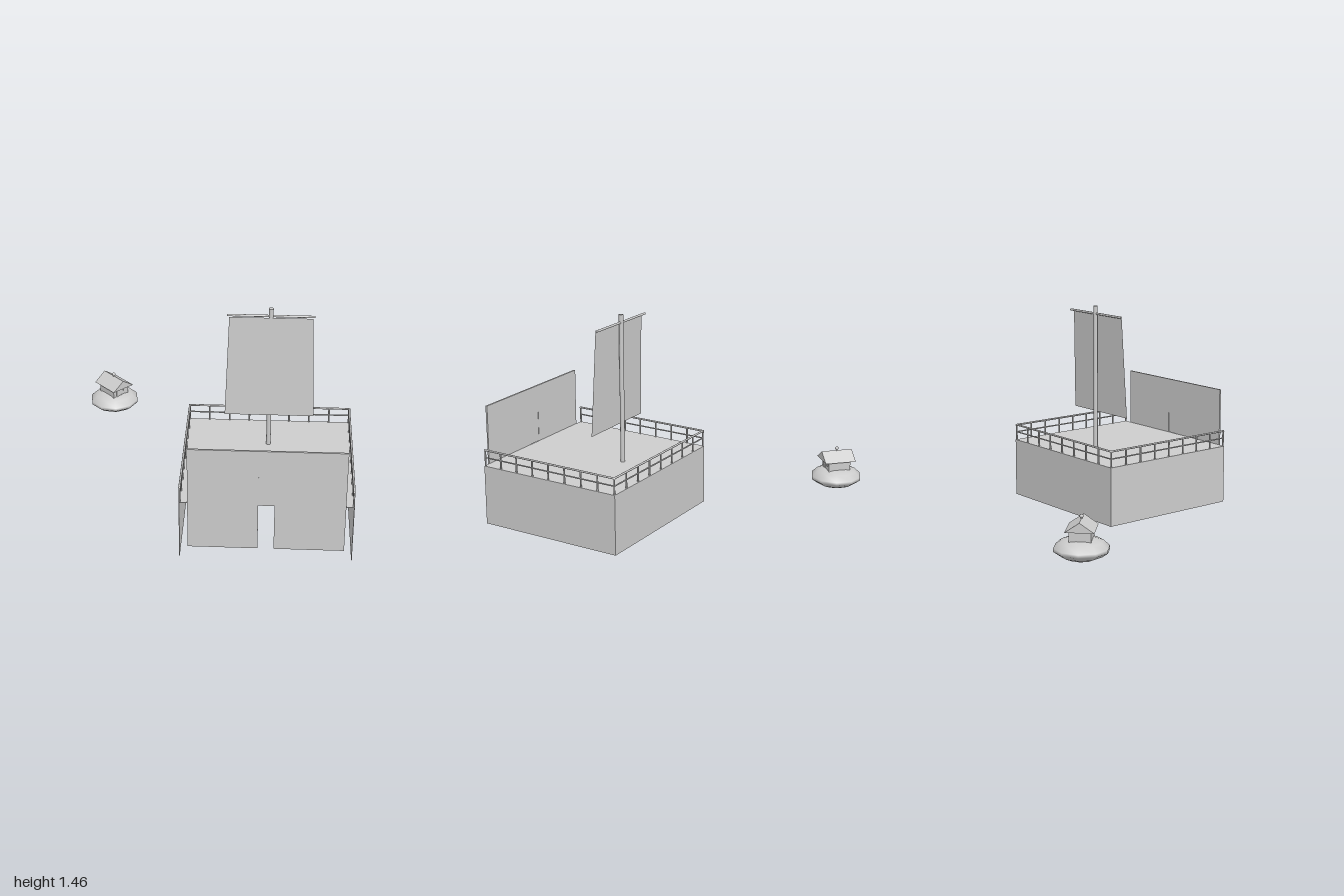
import * as THREE from 'three';

export function createModel() {
  const model = new THREE.Group();
  model.name = 'shipStageWithIsland';
  const grey = new THREE.MeshStandardMaterial({ color: 0xcccccc });
  grey.name = 'plain grey';
  const greySheet = new THREE.MeshStandardMaterial({ color: 0xcccccc, side: THREE.DoubleSide });
  greySheet.name = 'plain grey sheet';

  function add(parent, name, geometry, x = 0, y = 0, z = 0, material = grey) {
    const mesh = new THREE.Mesh(geometry, material);
    mesh.name = name;
    mesh.position.set(x, y, z);
    parent.add(mesh);
    return mesh;
  }
  // Box given by its limits
  function block(parent, name, x0, x1, y0, y1, z0, z1) {
    return add(parent, name, new THREE.BoxGeometry(x1 - x0, y1 - y0, z1 - z0),
      (x0 + x1) / 2, (y0 + y1) / 2, (z0 + z1) / 2);
  }
  // Round bar between two points
  function bar(parent, name, a, b, radius, sides = 8) {
    const from = new THREE.Vector3(...a), to = new THREE.Vector3(...b);
    const dir = to.clone().sub(from);
    const mesh = add(parent, name, new THREE.CylinderGeometry(radius, radius, dir.length(), sides));
    mesh.position.copy(from).add(to).multiplyScalar(0.5);
    mesh.quaternion.setFromUnitVectors(new THREE.Vector3(0, 1, 0), dir.normalize());
    return mesh;
  }

  // Platform: deck and three walls, open at the front and below
  const X0 = -0.17, X1 = 0.965, Z0 = -0.08, Z1 = 0.987, DECK = 0.42, T = 0.004;
  const platform = new THREE.Group();
  platform.name = 'platform';
  model.add(platform);
  block(platform, 'deck', X0, X1, DECK - T, DECK, Z0, Z1);
  block(platform, 'rightWall', X0, X0 + T, 0, DECK - T, Z0, Z1);
  block(platform, 'leftWall', X1 - T, X1, 0, DECK - T, Z0, Z1);
  block(platform, 'backWall', X0 + T, X1 - T, 0, DECK - T, Z0, Z0 + T);

  // Railings on the two sides and the back
  const railing = new THREE.Group();
  railing.name = 'railing';
  model.add(railing);
  const R = 0.007, rx0 = X0 + R, rx1 = X1 - R, rz0 = Z0 + R, rz1 = Z1 - R, TOP = 0.533;
  const runs = [[rx0, rz1, rx0, rz0], [rx0, rz0, rx1, rz0], [rx1, rz0, rx1, rz1]];
  runs.forEach(([ax, az, bx, bz], run) => {
    bar(railing, 'topRail', [ax, TOP, az], [bx, TOP, bz], R);
    bar(railing, 'middleRail', [ax, 0.48, az], [bx, 0.48, bz], 0.005);
    const bays = 8;
    for (let i = run ? 1 : 0; i <= bays; i++) {
      const px = ax + (bx - ax) * i / bays, pz = az + (bz - az) * i / bays;
      bar(railing, 'post', [px, DECK, pz], [px, TOP, pz], 0.006);
    }
  });
  for (const [x, z] of [[rx0, rz0], [rx1, rz0], [rx0, rz1], [rx1, rz1]])
    add(railing, 'railCorner', new THREE.SphereGeometry(0.009, 8, 6), x, TOP - 0.002, z);

  // Front screen: two panels, a lintel over the doorway and a top band
  const screen = new THREE.Group();
  screen.name = 'frontScreen';
  model.add(screen);
  block(screen, 'rightPanel', -0.113, 0.345, 0.085, 0.678, 0.988, 0.999);
  block(screen, 'leftPanel', 0.45, 0.91, 0.085, 0.678, 0.988, 0.999);
  block(screen, 'lintel', 0.345, 0.45, DECK, 0.678, 0.99, 0.997);
  block(screen, 'topBand', -0.113, 0.91, 0.678, 0.832, 0.987, 1);

  // Mast, yard and leaning sail
  const rig = new THREE.Group();
  rig.name = 'rig';
  rig.position.set(0.397, 0, 0.234);
  model.add(rig);
  bar(rig, 'mast', [0, DECK, 0], [0, 1.457, 0], 0.0155, 12);
  bar(rig, 'yard', [-0.29, 1.402, 0], [0.29, 1.402, 0], 0.008);
  const sailShape = new THREE.Shape([[-0.301, 0], [0.301, 0], [0.275, 0.722], [-0.275, 0.722]]
    .map(p => new THREE.Vector2(...p)));
  const sail = add(rig, 'sail', new THREE.ShapeGeometry(sailShape), 0, 0.675, 0.046, greySheet);
  sail.rotation.x = -0.04;

  // Small floating island
  const island = new THREE.Group();
  island.name = 'island';
  island.position.set(-0.795, 0, -0.82);
  model.add(island);
  const profile = [[0, 0.07], [0.09, 0.076], [0.14, 0.098], [0.181, 0.128], [0.181, 0.15],
    [0.14, 0.188], [0.09, 0.206], [0, 0.21]].map(p => new THREE.Vector2(...p));
  const ground = add(island, 'islandGround', new THREE.LatheGeometry(profile, 10));
  ground.rotation.y = 0.16;

  // Hut with its gable turned to the front left corner
  const hut = new THREE.Group();
  hut.name = 'hut';
  hut.rotation.y = Math.PI / 4;
  island.add(hut);
  block(hut, 'hutWalls', -0.07, 0.07, 0.17, 0.275, -0.081, 0.081);
  const gable = new THREE.Shape([[-0.094, 0], [0.094, 0], [0, 0.065]].map(p => new THREE.Vector2(...p)));
  add(hut, 'roof', new THREE.ExtrudeGeometry(gable, { depth: 0.226, bevelEnabled: false }), 0, 0.27, -0.113);
  block(hut, 'door', -0.042, 0.0, 0.2, 0.262, 0.081, 0.085);
  block(hut, 'window', 0.022, 0.046, 0.235, 0.26, 0.081, 0.085);
  bar(hut, 'finialStem', [0, 0.325, 0], [0, 0.35, 0], 0.005);
  add(hut, 'finialBall', new THREE.SphereGeometry(0.013, 12, 8), 0, 0.35, 0);

  return model;
}
